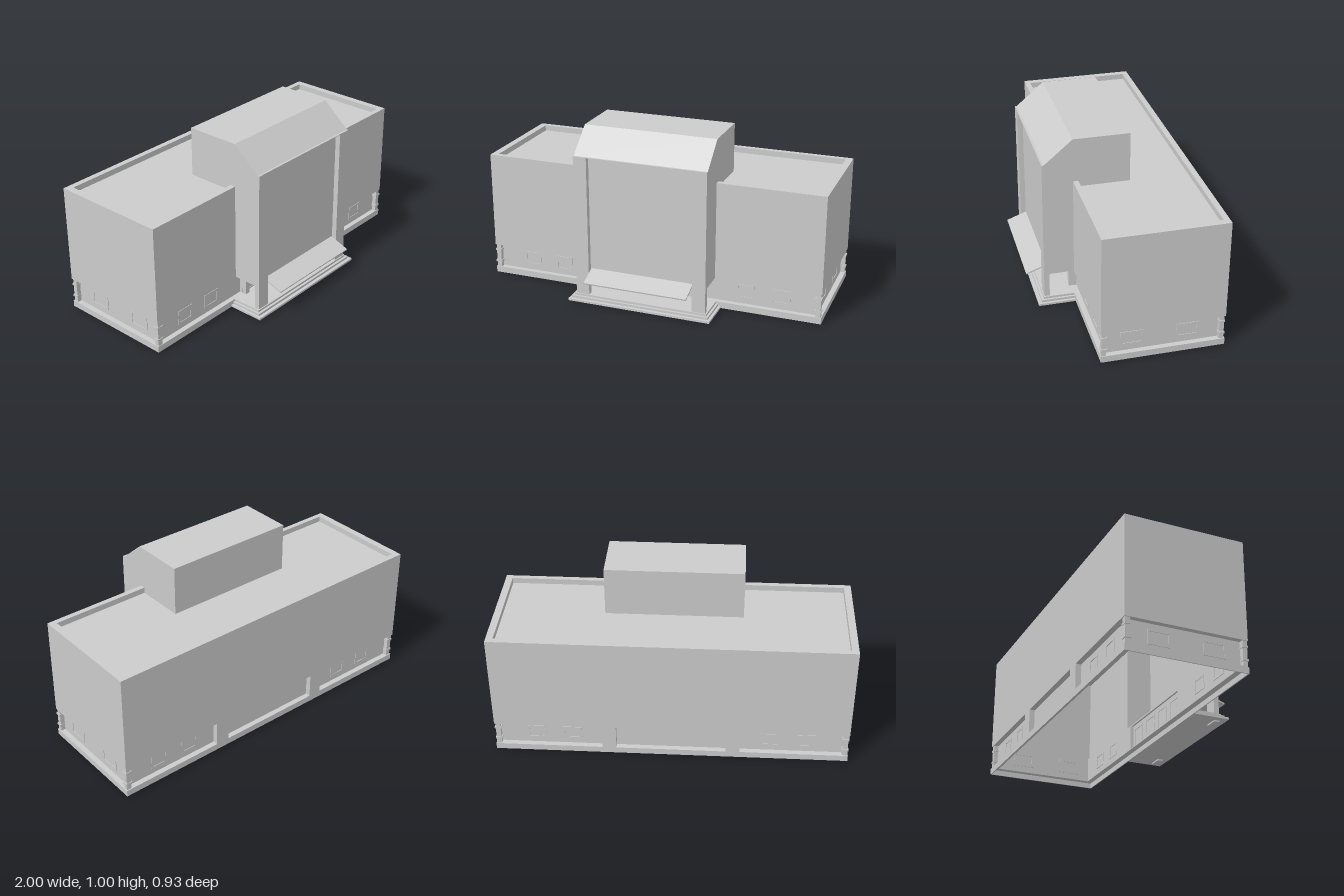
import * as THREE from 'three';

const grey = new THREE.MeshStandardMaterial({ color: 0xcccccc, flatShading: true });

const toShape = (pts) => new THREE.Shape(pts.map(([a, b]) => new THREE.Vector2(a, b)));

export function createModel() {
  const model = new THREE.Group();

  const add = (name, geometry) => {
    const mesh = new THREE.Mesh(geometry, grey);
    mesh.name = name;
    model.add(mesh);
  };

  // Box given by its limits on each axis
  const box = (name, x0, x1, y0, y1, z0, z1) => {
    const g = new THREE.BoxGeometry(x1 - x0, y1 - y0, z1 - z0);
    g.translate((x0 + x1) / 2, (y0 + y1) / 2, (z0 + z1) / 2);
    add(name, g);
  };

  // Floor plan in (x, z) raised from y0 to y1, with an optional hole
  const plan = (name, pts, y0, y1, hole) => {
    const flip = (list) => list.map(([x, z]) => [x, -z]);
    const shape = toShape(flip(pts));
    if (hole) shape.holes.push(toShape(flip(hole)));
    const g = new THREE.ExtrudeGeometry(shape, { depth: y1 - y0, bevelEnabled: false });
    g.rotateX(-Math.PI / 2).translate(0, y0, 0);
    add(name, g);
  };

  // Side profile in (z, y) stretched symmetrically across x
  const profile = (name, pts, halfWidth) => {
    const g = new THREE.ExtrudeGeometry(toShape(pts), { depth: 2 * halfWidth, bevelEnabled: false });
    g.translate(0, 0, -halfWidth).rotateY(-Math.PI / 2);
    add(name, g);
  };

  // Plan outlines: a rectangle, and one with a bay pushed forward at the entrance
  const rect = (x, z0, z1) => [[-x, z1], [x, z1], [x, z0], [-x, z0]];
  const bayRect = (x, z0, z1, bx, bz) =>
    [[-x, z1], [-bx, z1], [-bx, bz], [bx, bz], [bx, z1], [x, z1], [x, z0], [-x, z0]];

  // Rectangular frame that shows on both faces of a wall
  const frame = (name, x, y, z, w, h, border, turned) => {
    const ring = (a, b) => [[-a, -b], [a, -b], [a, b], [-a, b]];
    const shape = toShape(ring(w / 2, h / 2));
    shape.holes.push(toShape(ring(w / 2 - border, h / 2 - border)));
    const g = new THREE.ExtrudeGeometry(shape, { depth: 0.016, bevelEnabled: false });
    g.translate(0, 0, -0.008);
    if (turned) g.rotateY(Math.PI / 2);
    g.translate(x, y, z);
    add(name, g);
  };

  // Plinth skirt with a ledge, and recessed ground floor wall, open underneath
  plan('plinth', rect(1, -0.466, 0.21), 0.008, 0.045, rect(0.994, -0.46, 0.204));
  plan('plinthLedge', rect(0.996, -0.462, 0.206), 0.039, 0.0448, rect(0.96, -0.425, 0.17));
  plan('groundFloorWall', bayRect(0.97, -0.435, 0.18, 0.32, 0.2), 0.0448, 0.188,
    bayRect(0.96, -0.425, 0.17, 0.31, 0.19));

  // Upper walls with parapet, open at the front where the tower joins
  plan('upperWalls', [
    [0.388, 0.21], [1, 0.21], [1, -0.466], [-1, -0.466], [-1, 0.21], [-0.388, 0.21],
    [-0.388, 0.18], [-0.96, 0.18], [-0.96, -0.433], [0.96, -0.433], [0.96, 0.18], [0.388, 0.18],
  ], 0.188, 0.755);
  box('roof', -0.96, 0.96, 0.705, 0.722, -0.433, 0.18);

  // Corner posts with two bands each
  for (const x of [-0.981, 0.981]) {
    for (const z of [-0.447, 0.194]) {
      box('cornerPost', x - 0.014, x + 0.014, 0.045, 0.188, z - 0.013, z + 0.013);
      for (const y of [0.082, 0.155]) {
        box('postBand', x - 0.019, x + 0.019, y - 0.006, y + 0.006, z - 0.016, z + 0.016);
      }
    }
  }

  // Windows on all four sides, and piers along the back
  for (const s of [-1, 1]) {
    for (const x of [0.56, 0.765]) {
      for (const z of [-0.43, 0.175]) frame('windowFrame', s * x, 0.118, z, 0.105, 0.084, 0.012);
    }
    for (const z of [0.037, -0.267]) frame('windowFrame', s * 0.965, 0.118, z, 0.126, 0.084, 0.013, true);
    const px = s * 0.35;
    box('backPier', px - 0.04, px + 0.04, 0.045, 0.188, -0.466, -0.435);
  }

  // Entrance doors in the bay
  for (const x of [-0.2325, -0.0775, 0.0775, 0.2325]) {
    frame('doorFrame', x, 0.105, 0.195, 0.115, 0.115, 0.008);
  }
  for (const x of [-0.305, -0.155, 0, 0.155, 0.305]) {
    box('doorMullion', x - 0.014, x + 0.014, 0.045, 0.158, 0.2, 0.225);
  }
  box('doorHeader', -0.319, 0.319, 0.158, 0.188, 0.2, 0.225);

  // Entrance tower: sloped top, sides, front panel and piers
  profile('towerTop', [
    [0.35, 0.722], [0.35, 0.866], [0.38, 0.866], [0.38, 0.87], [0.368, 0.87],
    [0.21, 1.005], [-0.105, 1.005], [-0.105, 0.722],
  ], 0.388);
  box('towerPanel', -0.37, 0.37, 0.188, 0.722, 0.335, 0.35);
  box('towerSoffit', -0.37, 0.37, 0.188, 0.196, 0.18, 0.335);
  for (const s of [-1, 1]) {
    const side = s * 0.379;
    box('towerSide', side - 0.009, side + 0.009, 0.188, 0.722, 0.18, 0.35);
    const px = s * 0.349;
    box('towerPier', px - 0.039, px + 0.039, 0, 0.866, 0.35, 0.38);
  }

  // Sloping canopy over the entrance
  profile('canopy', [[0.465, 0.148], [0.467, 0.156], [0.35, 0.199], [0.35, 0.191]], 0.305);

  // Porch steps
  [[0.425, 0.42, 0.008, 0.02], [0.41, 0.4, 0.02, 0.033], [0.397, 0.386, 0.033, 0.045]]
    .forEach(([x, z, y0, y1]) => box('porchStep', -x, x, y0, y1, 0.21, z));

  return model;
}
